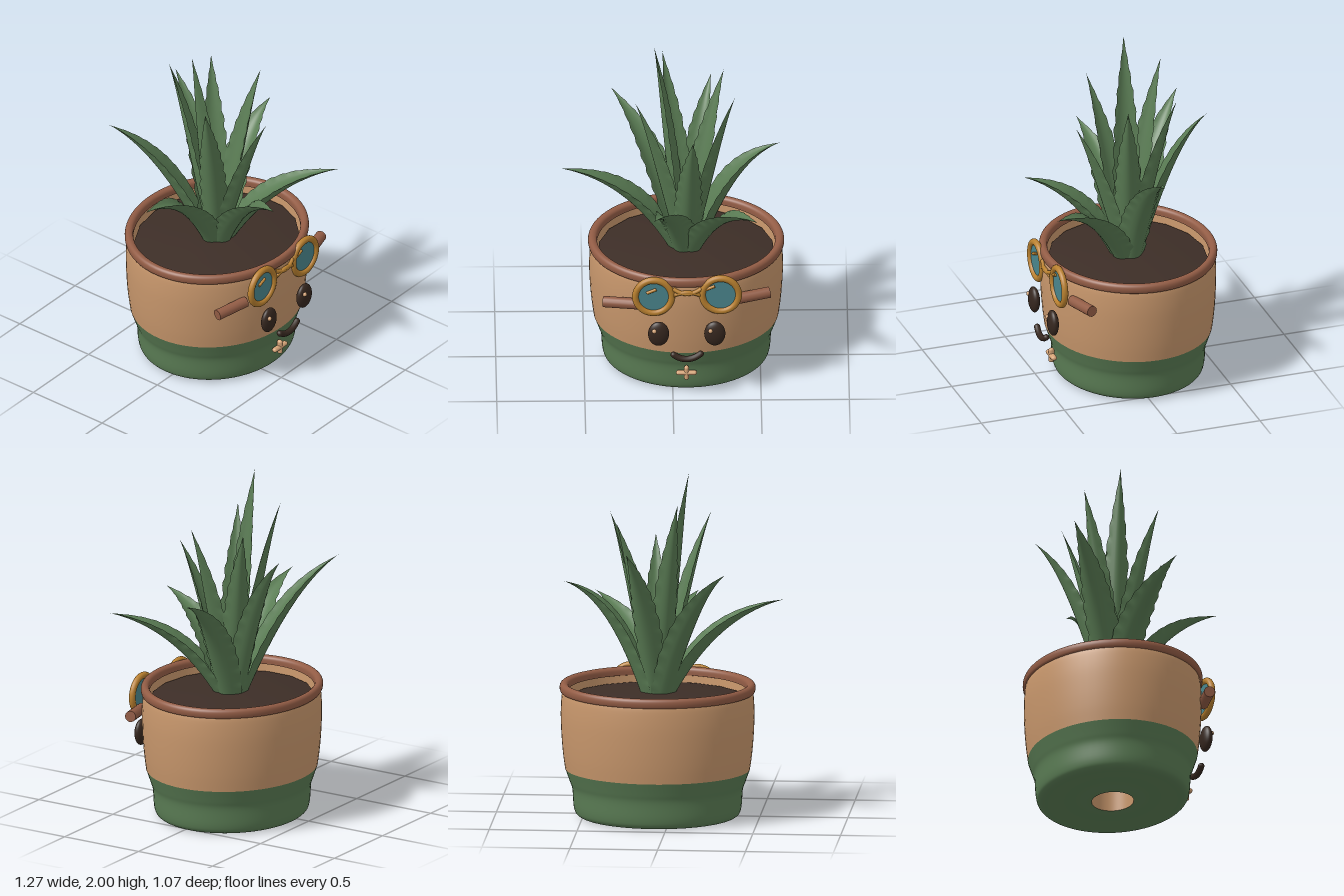
import * as THREE from 'three';

const mat = (name, color) => {
  const m = new THREE.MeshStandardMaterial({ color });
  m.name = name;
  return m;
};
const V = (x, y, z) => new THREE.Vector3(x, y, z);
const CX = 0.08, CZ = -0.033; // pot axis

export function createModel() {
  const root = new THREE.Group();
  root.name = 'pottedSucculent';
  const clay = mat('tan clay', 0xc8976c);
  const green = mat('plant green', 0x5a7c54);
  const terracotta = mat('terracotta', 0x925c45);
  const soilMat = mat('dark soil', 0x3d2e27);
  const gold = mat('gold frame', 0xb9802f);
  const teal = mat('teal lens', 0x4a858c);
  const dark = mat('dark brown', 0x36271f);
  const patch = mat('light tan', 0xd6a578);

  const add = (name, geo, material, parent = root) => {
    const m = new THREE.Mesh(geo, material);
    m.name = name;
    parent.add(m);
    return m;
  };
  const points = pts => pts.map(p => new THREE.Vector2(...p));
  const smooth = (pts, n) => new THREE.SplineCurve(points(pts)).getPoints(n);
  const rod = (name, a, b, r, material, parent) => {
    const m = add(name, new THREE.CylinderGeometry(r, r, a.distanceTo(b), 16), material, parent);
    m.position.copy(a).add(b).multiplyScalar(0.5);
    m.quaternion.setFromUnitVectors(V(0, 1, 0), b.clone().sub(a).normalize());
    return m;
  };

  // Pot: slightly oval, turned from profiles
  const pot = new THREE.Group();
  pot.name = 'pot';
  pot.position.set(CX, 0, CZ);
  pot.scale.z = 0.897;
  root.add(pot);
  const turn = (name, pts, material, sides = 72) => add(name, new THREE.LatheGeometry(pts, sides), material, pot);
  turn('potBase', smooth([[0.13, 0.004], [0.16, 0.008], [0.23, 0.022], [0.32, 0.018], [0.41, 0.004],
    [0.458, 0.018], [0.476, 0.06], [0.484, 0.16], [0.5, 0.21], [0.525, 0.28]], 50), green);
  turn('potWall', smooth([[0.525, 0.28], [0.537, 0.37], [0.546, 0.48], [0.55, 0.6], [0.545, 0.7], [0.535, 0.74]], 24), clay);
  turn('potInside', points([[0.515, 0.75], [0.505, 0.6], [0.48, 0.28]]), clay);
  turn('potInsideBase', points([[0.48, 0.28], [0.45, 0.14], [0.13, 0.13]]), green);
  turn('drainHole', points([[0.13, 0.13], [0.13, 0.004]]), clay);
  turn('potRim', smooth([[0.505, 0.73], [0.545, 0.722], [0.556, 0.74], [0.554, 0.763], [0.54, 0.776],
    [0.52, 0.774], [0.507, 0.76], [0.505, 0.73]], 32), terracotta);
  turn('soil', smooth([[0.5, 0.69], [0.35, 0.708], [0.15, 0.724], [0, 0.728]], 10), soilMat, 18);

  // Leaves: channelled, saw-edged blades along bent centre lines
  const leafGeometry = (tip, W, offset, ctrlOut, ctrlUp) => {
    const d = V(tip.x - CX, 0, tip.z - CZ);
    const reach = d.length() - offset;
    d.normalize();
    const base = V(CX, 0.7, CZ).addScaledVector(d, offset);
    const ctrl = base.clone().addScaledVector(d, reach * ctrlOut);
    ctrl.y += (tip.y - base.y) * ctrlUp;
    const curve = new THREE.QuadraticBezierCurve3(base, ctrl, tip);
    const side = V(0, 1, 0).cross(d);
    const rows = 66, cols = 10, pos = [], idx = [];
    for (const face of [0, 1]) {
      const start = pos.length / 3;
      for (let i = 0; i <= rows; i++) {
        const t = i / rows;
        const p = curve.getPoint(t), normal = curve.getTangent(t).cross(side).normalize();
        const w = W * (1 - t) ** 1.3 * (0.6 + 2.1 * t);
        const saw = [0, 0.3, 0.6, 0.9, 1, 0.4][i % 6];
        const tooth = 0.011 * saw * Math.min(1, 2 * (1 - t));
        for (let j = 0; j <= cols; j++) {
          const u = (j / cols) * 2 - 1;
          const edge = Math.abs(u) === 1 ? tooth * u : 0;
          const lift = w * (0.38 * u * u - 0.18 - (face ? 0.4 * (1 - u * u) : 0));
          const q = p.clone().addScaledVector(side, u * w + edge).addScaledVector(normal, lift);
          pos.push(q.x, q.y, q.z);
        }
      }
      for (let i = 0; i < rows; i++) for (let j = 0; j < cols; j++) {
        const a = start + i * (cols + 1) + j, b = a + cols + 1;
        if (face) idx.push(a, a + 1, b, b, a + 1, b + 1);
        else idx.push(a, b, a + 1, b, b + 1, a + 1);
      }
    }
    const g = new THREE.BufferGeometry();
    g.setAttribute('position', new THREE.Float32BufferAttribute(pos, 3));
    g.setIndex(idx);
    g.computeVertexNormals();
    return g;
  };
  const leaves = new THREE.Group();
  leaves.name = 'leaves';
  root.add(leaves);
  // Each ring: half width, base offset, bend, tips
  const rings = [
    ['outerLeaf', 0.122, 0.045, 0.3, 0.87, [[-0.637, 1.257, 0.025], [0.612, 1.362, -0.07], [0.48, 1.19, 0.535], [-0.107, 1.2, 0.535]]],
    ['middleLeaf', 0.115, 0.04, 0.35, 0.74, [[-0.343, 1.495, -0.478]]],
    ['narrowMiddleLeaf', 0.1, 0.04, 0.35, 0.74, [[0.227, 1.595, -0.453]]],
    ['innerLeaf', 0.092, 0.018, 0.42, 0.64, [[0.297, 1.74, -0.25], [0.358, 1.74, 0.065], [0.117, 1.575, 0.297],
      [-0.212, 1.74, 0.116], [-0.053, 1.85, -0.277], [-0.102, 2, -0.07]]],
  ];
  for (const [name, w, offset, out, up, tips] of rings)
    for (const tip of tips) add(name, leafGeometry(V(...tip), w, offset, out, up), green, leaves);
  rod('stem', V(CX, 0.68, CZ), V(CX, 0.84, CZ), 0.023, terracotta, leaves);

  // Glasses
  const glasses = new THREE.Group();
  glasses.name = 'glasses';
  root.add(glasses);
  for (const [x, y, gx, gy] of [[-0.11, 0.661, -0.122, 0.698], [0.27, 0.671, 0.21, 0.718]]) {
    const ring = add('lensRing', new THREE.TorusGeometry(0.103, 0.019, 14, 48), gold, glasses);
    ring.position.set(x, y, 0.451);
    ring.scale.y = 1.03;
    const lens = add('lens', new THREE.CylinderGeometry(0.1, 0.1, 0.009, 40), teal, glasses);
    lens.rotation.x = Math.PI / 2;
    lens.position.set(x, y, 0.45);
    rod('lensGlint', V(gx - 0.027, gy - 0.012, 0.457), V(gx + 0.027, gy + 0.012, 0.457), 0.009, gold, glasses);
  }
  for (const [y0, y1] of [[0.711, 0.686], [0.666, 0.695]]) {
    const c = new THREE.QuadraticBezierCurve3(V(0, y0, 0.452), V(CX, 2 * y1 - y0, 0.482), V(0.16, y0, 0.452));
    add('bridge', new THREE.TubeGeometry(c, 20, 0.012, 10), gold, glasses);
  }
  rod('rightArm', V(-0.392, 0.57, 0.35), V(-0.2, 0.583, 0.4), 0.032, terracotta, glasses);
  rod('leftArm', V(0.548, 0.625, 0.35), V(0.355, 0.612, 0.4), 0.032, terracotta, glasses);

  // Face
  for (const x of [-0.082, 0.237]) {
    const eye = add('eye', new THREE.SphereGeometry(1, 28, 20), dark);
    eye.scale.set(0.06, 0.077, 0.03);
    eye.position.set(x, 0.43, 0.476);
    const glint = add('eyeGlint', new THREE.SphereGeometry(0.013, 12, 10), patch);
    glint.position.set(x - 0.024, 0.46, 0.5);
  }
  const smile = new THREE.QuadraticBezierCurve3(V(0.003, 0.298, 0.487), V(CX, 0.243, 0.497), V(0.157, 0.303, 0.487));
  add('mouth', new THREE.TubeGeometry(smile, 24, 0.018, 12), dark);
  for (const t of [0, 1]) add('mouthEnd', new THREE.SphereGeometry(0.018, 12, 10), dark).position.copy(smile.getPoint(t));

  // Crossed patch on the base
  for (const [w, angle] of [[0.118, Math.PI / 2], [0.09, 0]]) {
    const bar = add('patchBar', new THREE.CapsuleGeometry(0.014, w - 0.028, 4, 12), patch);
    bar.position.set(0.077, 0.145, 0.428);
    bar.rotation.z = angle;
    bar.scale.z = 1.25;
  }
  return root;
}
